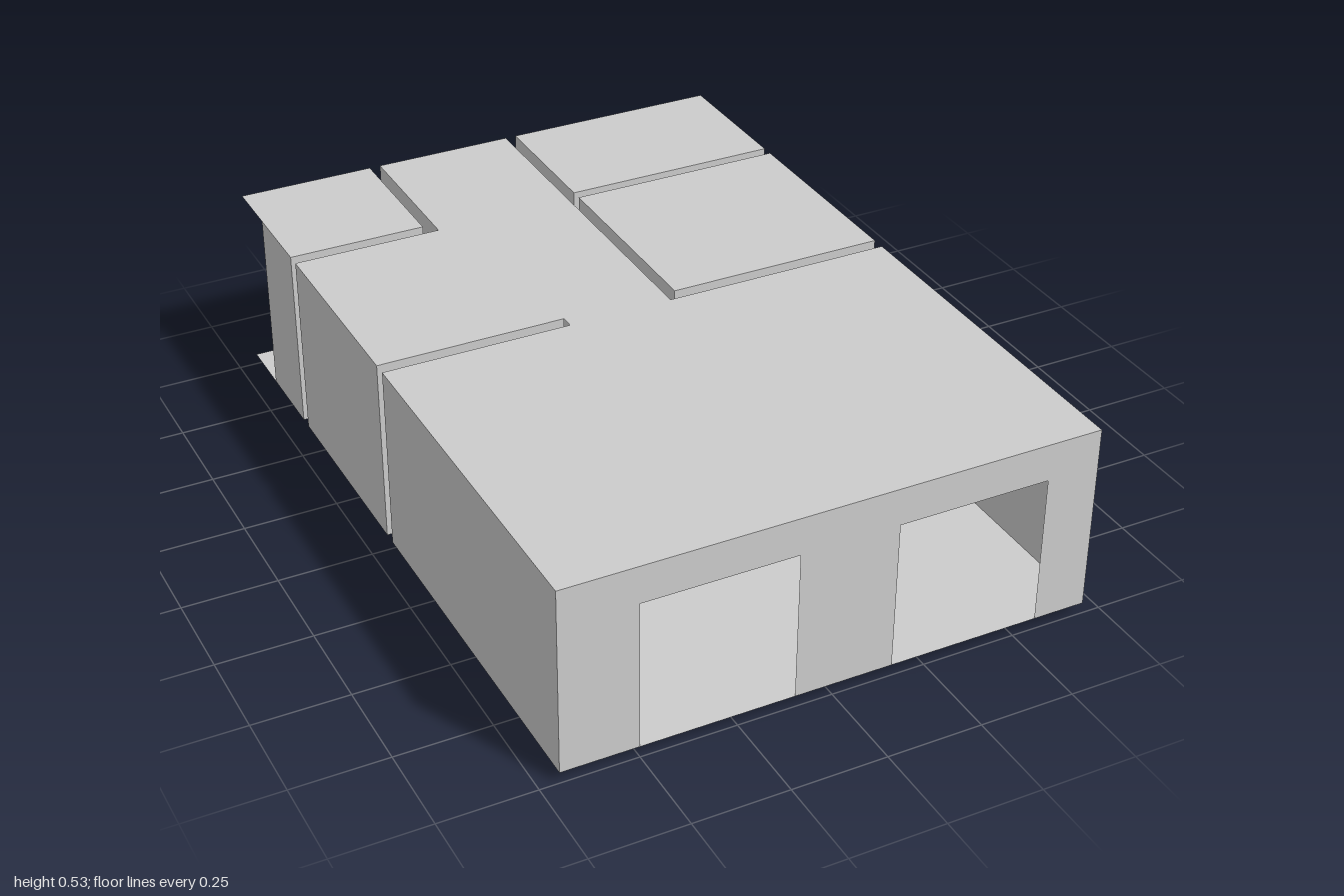
import * as THREE from 'three';

const FLOOR = 0.03, CEIL = 0.53;
const material = new THREE.MeshStandardMaterial({ color: 0xcccccc, side: THREE.DoubleSide, flatShading: true });

// Flat horizontal panel from an outline of [x, z] points
function slab(parent, name, outline, y) {
  const shape = new THREE.Shape(outline.map(([x, z]) => new THREE.Vector2(x, z)));
  const mesh = new THREE.Mesh(new THREE.ShapeGeometry(shape).rotateX(Math.PI / 2), material);
  mesh.position.y = y;
  mesh.name = name;
  parent.add(mesh);
}

// Upright panel from [x, z] to [x, z]; hole = [start, end, bottom, top] measured along the wall
function wall(parent, name, [x0, z0], [x1, z1], { y0 = FLOOR, y1 = CEIL, hole } = {}) {
  const length = Math.hypot(x1 - x0, z1 - z0);
  const group = new THREE.Group();
  group.name = name;
  const panel = (a, b, lo, hi) => {
    if (b - a < 1e-4 || hi - lo < 1e-4) return;
    const mesh = new THREE.Mesh(new THREE.PlaneGeometry(b - a, hi - lo), material);
    mesh.position.set((a + b) / 2, (lo + hi) / 2, 0);
    mesh.name = name + 'Panel';
    group.add(mesh);
  };
  if (hole) {
    const [a, b, lo, hi] = hole;
    panel(0, a, y0, y1);
    panel(b, length, y0, y1);
    panel(a, b, y0, lo);
    panel(a, b, hi, y1);
  } else panel(0, length, y0, y1);
  group.position.set(x0, 0, z0);
  group.rotation.y = -Math.atan2(z1 - z0, x1 - x0);
  parent.add(group);
}

// Chain of walls through points; holes are keyed by the index of the wall
function walls(parent, name, points, { y0, y1, holes = {} } = {}) {
  for (let i = 0; i < points.length - 1; i++)
    wall(parent, name, points[i], points[i + 1], { y0, y1, hole: holes[i] });
}

function room(parent, name) {
  const group = new THREE.Group();
  group.name = name;
  parent.add(group);
  return group;
}

export function createModel() {
  const model = new THREE.Group();
  model.name = 'apartment';

  // Shared floor and ceiling of living room, kitchen and hall
  const plan = (back) => [
    [-0.7, 1], [0.7, 1], [0.7, 0.015], [0.08, 0.015], [0.08, back], [-0.3, back],
    [-0.3, -0.585], [-0.7, -0.585], [-0.7, -0.02], [-0.2, -0.02], [-0.2, 0.015], [-0.7, 0.015],
  ];
  slab(model, 'mainFloor', plan(-0.84), FLOOR);
  slab(model, 'mainCeiling', plan(-1), CEIL);

  // Living room with two tall front openings and a serving hatch at the back
  const living = room(model, 'livingRoom');
  wall(living, 'frontWallLeftHalf', [0, 1], [0.7, 1], { hole: [0.16, 0.56, FLOOR, 0.43] });
  wall(living, 'frontWallRightHalf', [-0.7, 1], [0, 1], { hole: [0.2, 0.6, FLOOR, 0.43] });
  walls(living, 'livingWall', [[0.7, 1], [0.7, 0.22], [0.265, 0.22], [0.265, 0.015], [0.08, 0.015]]);
  walls(living, 'livingWall', [[-0.7, 1], [-0.7, 0.015], [-0.2, 0.015]], { holes: { 1: [0.2, 0.5, 0.23, 0.43] } });

  // Serving hatch lining
  const hatch = room(model, 'servingHatch');
  const hatchPlan = [[-0.5, 0.015], [-0.2, 0.015], [-0.2, -0.02], [-0.5, -0.02]];
  slab(hatch, 'counterTop', hatchPlan, 0.23);
  slab(hatch, 'lintelUnderside', hatchPlan, 0.43);
  wall(hatch, 'counterEnd', [-0.2, 0.015], [-0.2, -0.02], { y1: 0.23 });
  wall(hatch, 'hatchJamb', [-0.5, 0.015], [-0.5, -0.02], { y0: 0.23, y1: 0.43 });

  // Kitchen and hall, with a sunken entry behind the entrance door
  const hall = room(model, 'kitchenAndHall');
  walls(hall, 'kitchenWall', [[-0.2, -0.02], [-0.7, -0.02], [-0.7, -0.585], [-0.3, -0.585], [-0.3, -0.84]],
    { holes: { 0: [0, 0.3, 0.23, 0.43], 3: [0.05, 0.25, FLOOR, 0.43] } });
  wall(hall, 'hallWall', [0.08, -0.02], [0.08, -0.84]);
  walls(hall, 'entryWall', [[-0.3, -0.84], [-0.3, -1], [0.08, -1], [0.08, -0.84]],
    { y0: 0, holes: { 1: [0.185, 0.38, 0, 0.4] } });
  wall(hall, 'entryStep', [-0.3, -0.84], [0.08, -0.84], { y0: 0, y1: FLOOR });
  slab(hall, 'entryFloor', [[-0.3, -1], [0.08, -1], [0.08, -0.84], [-0.3, -0.84]], 0);

  // Small back room with a window, a door to the hall and a recessed corner
  const small = room(model, 'smallRoom');
  const smallPlan = [[-0.7, -1], [-0.33, -1], [-0.33, -0.62], [-0.7, -0.62]];
  slab(small, 'smallRoomFloor', smallPlan, FLOOR);
  slab(small, 'smallRoomCeiling', smallPlan, CEIL);
  walls(small, 'smallRoomWall',
    [[-0.33, -1], [-0.62, -1], [-0.62, -0.84], [-0.7, -0.84], [-0.7, -0.62], [-0.33, -0.62], [-0.33, -1]],
    { holes: { 0: [0.055, 0.205, 0.25, 0.37], 5: [0.02, 0.22, FLOOR, 0.43] } });

  // Bathroom with a lowered floor
  const bath = room(model, 'bathroom');
  const bathPlan = [[0.11, -1], [0.7, -1], [0.7, -0.615], [0.11, -0.615]];
  slab(bath, 'bathroomFloor', bathPlan, 0.015);
  slab(bath, 'bathroomCeiling', bathPlan, CEIL);
  walls(bath, 'bathroomWall', [...bathPlan, bathPlan[0]], { y0: 0.015 });

  // Bedroom with a recessed corner
  const bed = room(model, 'bedroom');
  const bedPlan = [[0.11, -0.585], [0.7, -0.585], [0.7, -0.02], [0.11, -0.02]];
  slab(bed, 'bedroomFloor', bedPlan, FLOOR);
  slab(bed, 'bedroomCeiling', bedPlan, CEIL);
  walls(bed, 'bedroomWall',
    [[0.11, -0.585], [0.62, -0.585], [0.62, -0.52], [0.7, -0.52], [0.7, -0.02], [0.11, -0.02], [0.11, -0.585]]);

  // Closet standing between living room and bedroom
  walls(room(model, 'closet'), 'closetWall',
    [[0.295, 0.015], [0.675, 0.015], [0.675, 0.19], [0.295, 0.19], [0.295, 0.015]]);

  return model;
}
